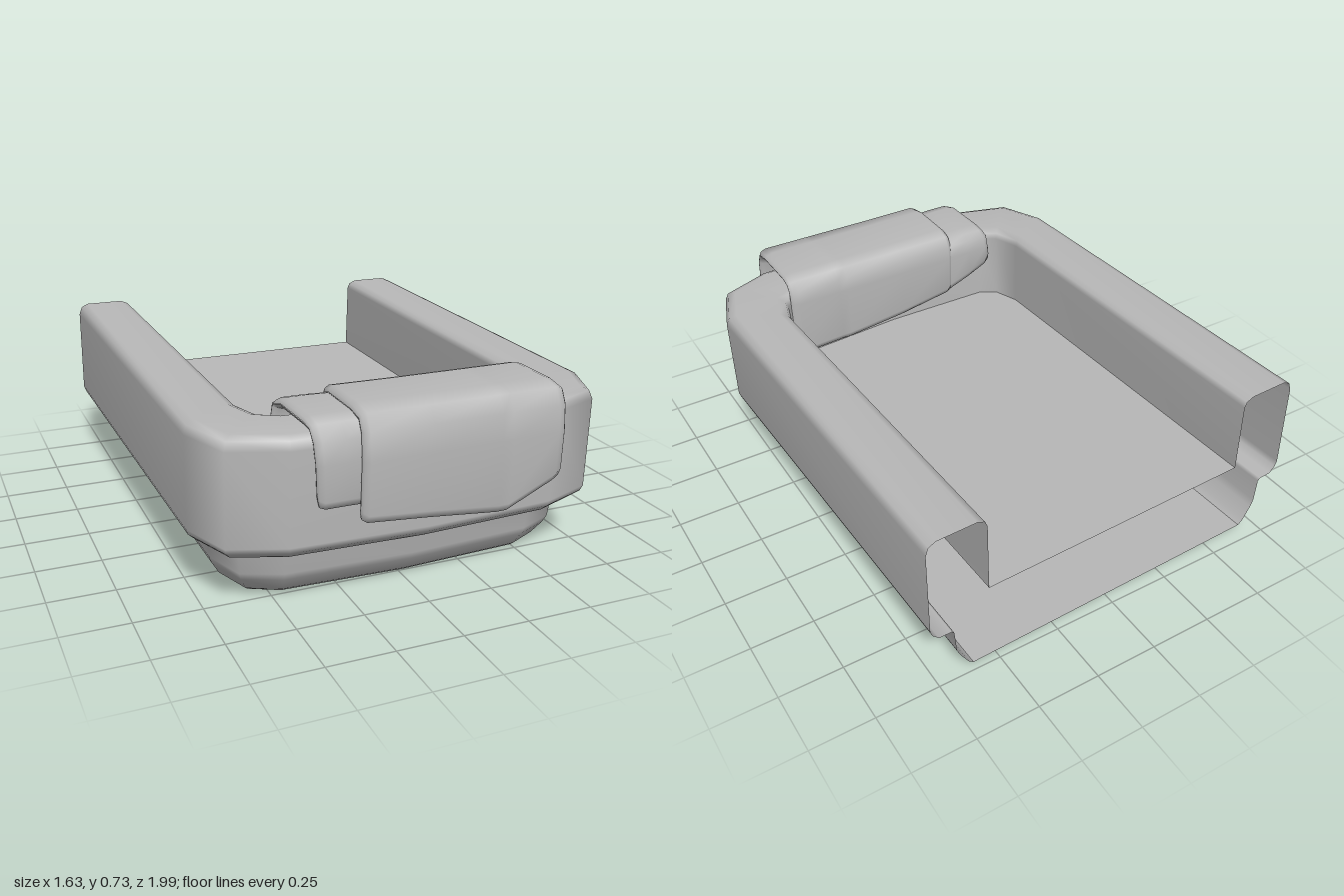
import * as THREE from 'three';

const grey = new THREE.MeshStandardMaterial({ color: 0xb8b8b8, side: THREE.DoubleSide });
grey.name = 'plain grey';

function meshFrom(name, positions, index) {
  const g = new THREE.BufferGeometry();
  g.setAttribute('position', new THREE.Float32BufferAttribute(positions, 3));
  g.setIndex(index);
  g.computeVertexNormals();
  const m = new THREE.Mesh(g, grey);
  m.name = name;
  return m;
}

// Skin a list of equally long rings of [x, y, z] points
function skin(name, rings, closed = false) {
  const n = rings[0].length, index = [];
  for (let i = 0; i < rings.length - 1; i++)
    for (let j = 0; j < (closed ? n : n - 1); j++) {
      const k = (j + 1) % n, a = i * n + j, b = i * n + k;
      index.push(a, b, a + n, b, b + n, a + n);
    }
  return meshFrom(name, rings.flat(2), index);
}

// Flat sheet spanning a U outline that is symmetrical left to right
function sheet(name, ring, up) {
  const n = ring.length, index = [];
  for (let j = 0; j < (n - 1) / 2; j++) {
    const a = j, b = j + 1, c = n - 1 - j, d = n - 2 - j;
    index.push(...(up ? [a, c, b] : [a, b, c]));
    if (b !== d) index.push(...(up ? [b, c, d] : [b, d, c]));
  }
  return meshFrom(name, ring.flat(), index);
}

// U outlines, right half: outer edge of the rim and its inner edge
const OUTER = [[0.795, -0.98], [0.795, 0.64], [0.72, 0.835], [0.515, 0.908], [0, 0.93]];
const INNER = [[0.56, -0.98], [0.56, 0.5], [0.525, 0.61], [0.46, 0.655], [0, 0.675]];
const RIM = 0.235;

function outline(inset, y) {
  const t = inset / RIM;
  const half = OUTER.map(([x, z], i) => [
    x + (INNER[i][0] - x) * t, y, z + (INNER[i][1] - z) * t,
  ]);
  return [...half, ...half.slice(0, -1).reverse().map(([x, yy, z]) => [-x, yy, z])];
}

// Rounded cloth strip draped over the front rim.
// stations: [x, front hem y, inner hem y, half thickness]
function cloth(name, stations, top, front, skew) {
  const rings = stations.map(([x, fb, hb, t]) => {
    const path = [
      [0.632, hb], [0.626, hb + 0.03], [0.625, 0.62], [0.63, 0.67], [0.648, top - 0.035],
      [0.685, top - 0.024], [0.88, top - 0.024], [front - 0.05, top - 0.035],
      [front - 0.027, top - 0.08], [front - 0.02, 0.56], [front - 0.025, fb + 0.03], [front - 0.03, fb],
    ];
    const last = path.length - 1;
    const side = (s) => path.map(([z, y], i) => {
      const p = path[Math.max(i - 1, 0)], q = path[Math.min(i + 1, last)];
      const dz = q[0] - p[0], dy = q[1] - p[1], len = Math.hypot(dz, dy);
      const h = s * t * (i === 0 || i === last ? 0.4 : 1);
      return [x + skew * (i / last - 0.5), y + (h * dz) / len, z - (h * dy) / len];
    });
    return [...side(1), ...side(-1).reverse()];
  });
  return skin(name, rings, true);
}

export function createModel() {
  const model = new THREE.Group();

  // Tub shell, tilted very slightly and open at the back
  const tub = new THREE.Group();
  tub.name = 'tub';
  const profile = [
    [0.235, 0.36], [0.233, 0.645], [0.224, 0.667], [0.195, 0.68], [0.04, 0.68], [0.012, 0.667],
    [0, 0.635], [0, 0.285], [0.008, 0.262], [0.032, 0.237], [0.082, 0.235], [0.092, 0.225],
    [0.1, 0.13], [0.112, 0.1], [0.145, 0.045], [0.165, 0.028],
  ];
  const rings = profile.map(([d, y]) => outline(d, y));
  tub.add(skin('rimAndBaseWall', rings));
  tub.add(sheet('innerFloor', rings[0], true));
  tub.add(sheet('underside', rings[rings.length - 1], false));
  tub.rotation.set(0.021, 0.023, -0.01);
  tub.position.y = -0.008;
  model.add(tub);

  // Folded cloth: wide top layer and a narrow layer peeping out beside it
  model.add(cloth('clothTopLayer', [
    [-0.256, 0.37, 0.47, 0.001], [-0.25, 0.345, 0.45, 0.014], [-0.232, 0.335, 0.44, 0.024],
    [0, 0.315, 0.4, 0.022], [0.27, 0.288, 0.37, 0.022], [0.31, 0.289, 0.37, 0.022],
    [0.495, 0.375, 0.36, 0.022], [0.52, 0.39, 0.37, 0.014], [0.53, 0.41, 0.39, 0.001],
  ], 0.735, 0.995, 0));
  model.add(cloth('clothUnderLayer', [
    [-0.43, 0.43, 0.57, 0.001], [-0.424, 0.405, 0.55, 0.013], [-0.405, 0.398, 0.53, 0.02],
    [-0.32, 0.398, 0.49, 0.02], [-0.22, 0.395, 0.45, 0.016],
  ], 0.715, 0.972, 0.06));

  return model;
}
